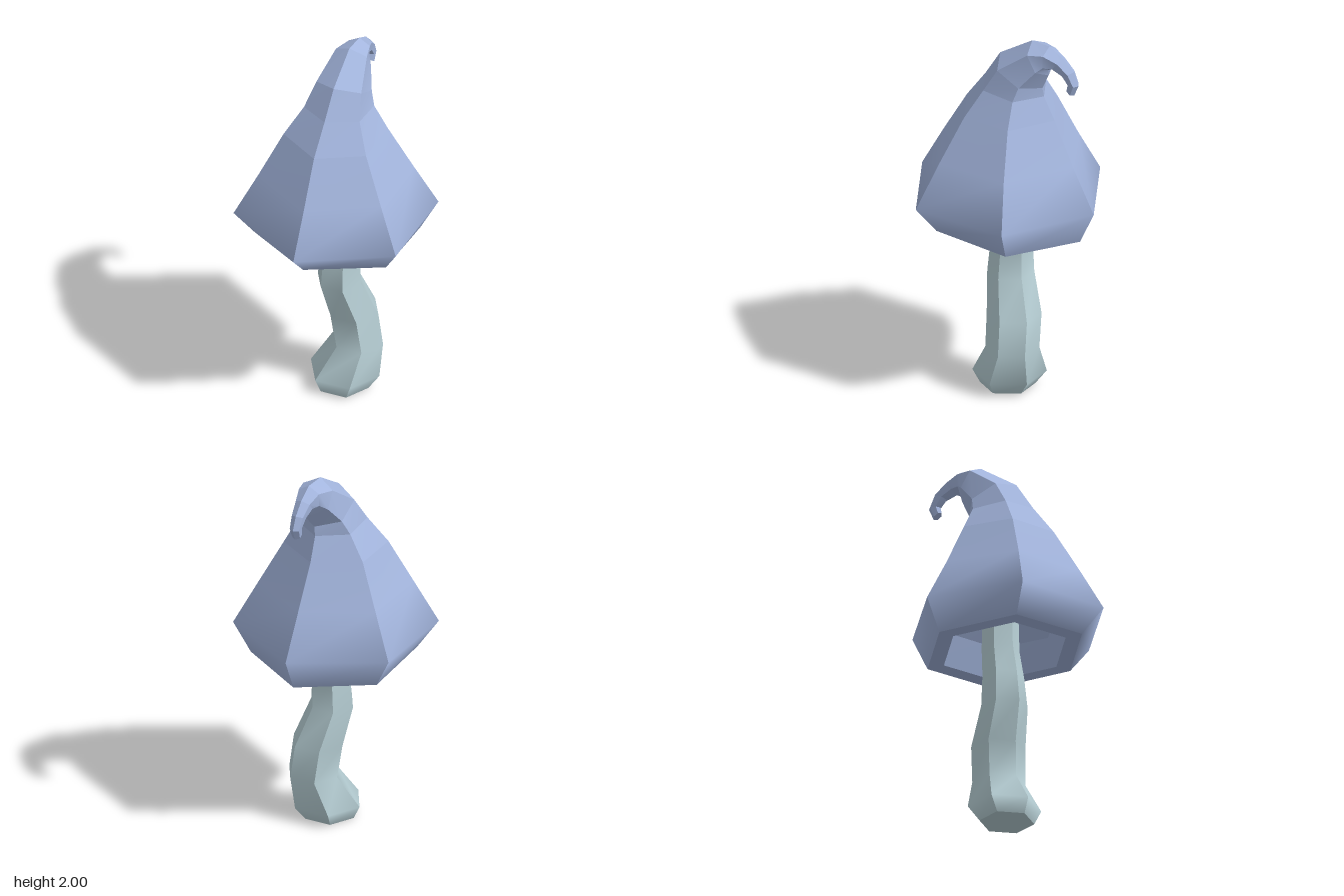
import * as THREE from 'three';

const SIDES = 6;
const V = (x, y, z) => new THREE.Vector3(x, y, z);

// Hexagonal ring [x, y, z, radius, tilt in degrees]; the first corner faces `front`.
function ring([x, y, z, r, tilt = 0], front) {
  const t = THREE.MathUtils.degToRad(tilt);
  const u = front.clone().multiplyScalar(Math.cos(t)).add(V(0, Math.sin(t), 0));
  const s = V(front.z, 0, -front.x);
  return Array.from({ length: SIDES }, (_, k) => {
    const a = (k / SIDES) * Math.PI * 2;
    return V(x, y, z).addScaledVector(u, r * Math.cos(a)).addScaledVector(s, r * Math.sin(a));
  });
}

// Skin over rings: corners stay sharp, each side is smooth along its length or flat per panel.
function loft(specs, front, smooth) {
  const rings = specs.map((spec) => ring(spec, front));
  const pos = [], index = [];
  const panel = (a, b, c, d) => index.push(a, b, c, a, c, d);
  for (let k = 0; k < SIDES; k++) {
    const n = (k + 1) % SIDES;
    const start = pos.length / 3;
    rings.forEach((r, i) => {
      const again = !smooth && i > 0 && i < rings.length - 1 ? 2 : 1;
      for (let j = 0; j < again; j++) pos.push(...r[k].toArray(), ...r[n].toArray());
    });
    for (let i = 0; i < rings.length - 1; i++) {
      const a = start + i * (smooth ? 2 : 4);
      panel(a, a + 1, a + 3, a + 2);
    }
  }
  const g = new THREE.BufferGeometry();
  g.setAttribute('position', new THREE.Float32BufferAttribute(pos, 3));
  g.setIndex(index);
  g.computeVertexNormals();
  return g;
}

export function createModel() {
  const model = new THREE.Group();
  const capMat = new THREE.MeshStandardMaterial({ color: 0xa3b5dd });
  const stemMat = new THREE.MeshStandardMaterial({ color: 0xb8d0d6 });

  const add = (parent, name, geometry, material) => {
    const mesh = new THREE.Mesh(geometry, material);
    mesh.name = name;
    parent.add(mesh);
  };

  // Cap: the horn curls away from the first corner
  const cap = new THREE.Group();
  cap.name = 'cap';
  model.add(cap);
  const capFront = V(-0.52, 0, 0.854);
  const rim = [0.01, 0.948, -0.015, 0.425, 3.5];
  const lip = [0.01, 0.948, -0.015, 0.335, 3.5];
  const shoulder = [0, 1.57, -0.015, 0.267];

  add(cap, 'capHollow', loft([
    [0.01, 1.3, -0.015, 0],
    [0.01, 1.27, -0.015, 0.15],
    [0.01, 1.1, -0.015, 0.28, 2],
    lip,
  ], capFront, false), capMat);
  add(cap, 'capLip', loft([lip, rim], capFront, false), capMat);
  add(cap, 'capBell', loft([
    rim,
    [0, 1.1, 0, 0.525],
    [0, 1.335, -0.003, 0.395],
    shoulder,
  ], capFront, true), capMat);
  add(cap, 'capHorn', loft([
    shoulder,
    [0.02, 1.71, -0.035, 0.18, 5],
    [0.05, 1.81, -0.07, 0.145, 27],
    [0.11, 1.915, -0.17, 0.1, 60],
    [0.145, 1.932, -0.215, 0.068, 92],
    [0.172, 1.915, -0.265, 0.047, 128],
    [0.2, 1.875, -0.315, 0.037, 155],
    [0.217, 1.82, -0.342, 0.031, 182],
    [0.21, 1.775, -0.328, 0.027, 215],
    [0.21, 1.775, -0.328, 0, 215],
  ], capFront, false), capMat);

  // Stem: bulbous foot, then a wavering shaft that ends inside the cap
  const stem = new THREE.Group();
  stem.name = 'stem';
  model.add(stem);
  const stemFront = V(0, 0, 1);
  const sole = [0.035, 0, 0, 0.142];
  add(stem, 'stemSole', loft([[0.035, 0, 0, 0], sole], stemFront, false), stemMat);
  add(stem, 'stemShaft', loft([
    sole,
    [0.048, 0.08, -0.01, 0.19],
    [0.117, 0.25, -0.027, 0.138],
    [0.092, 0.435, -0.035, 0.14],
    [0.02, 0.64, -0.015, 0.12],
    [0.025, 0.81, -0.02, 0.108],
    [0.05, 0.97, -0.03, 0.098],
    [0.05, 1.28, -0.03, 0.09],
  ], stemFront, true), stemMat);

  return model;
}
